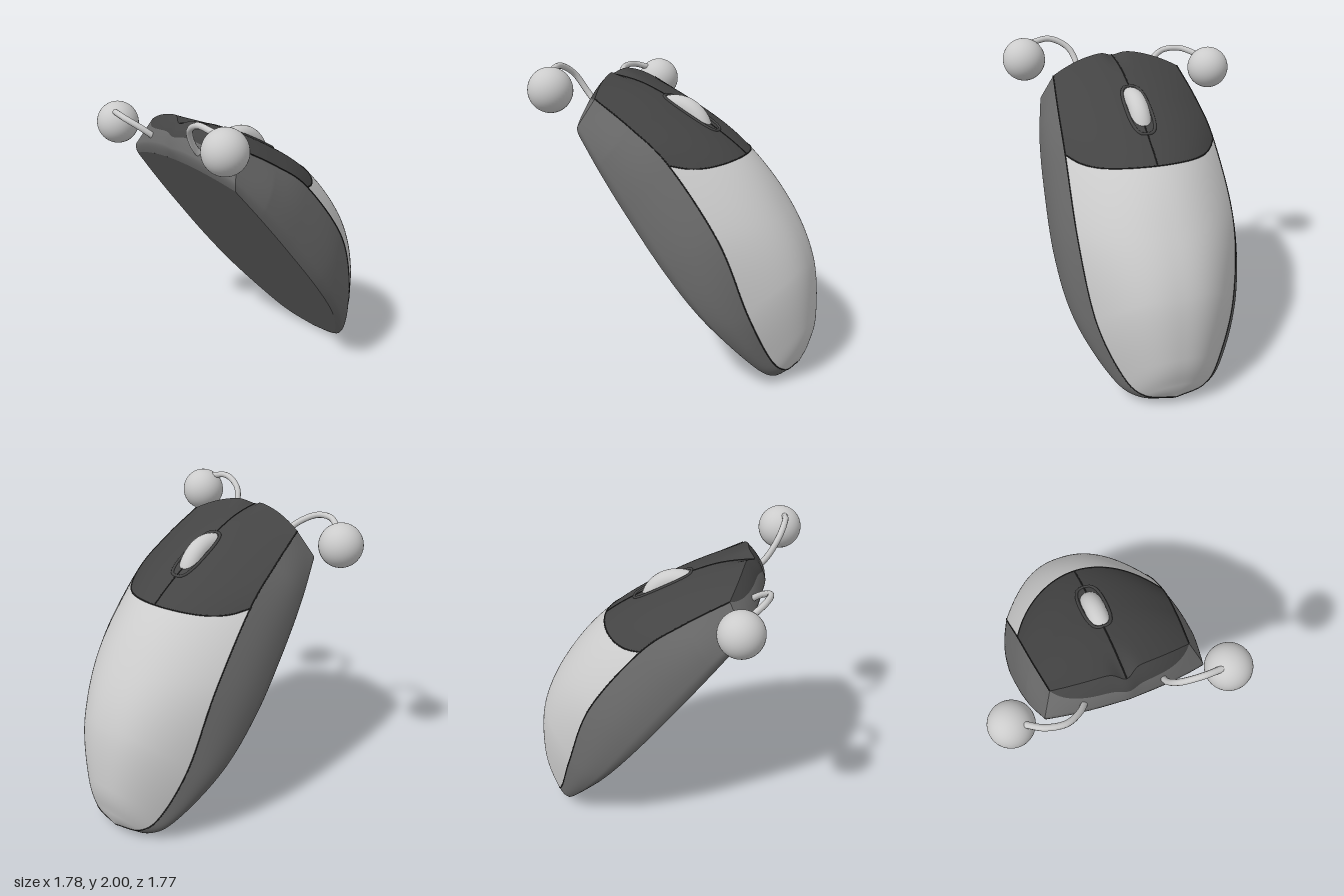
import * as THREE from 'three';
import { ParametricGeometry } from 'three/addons/geometries/ParametricGeometry.js';

// Guide curves in the mouse's own frame: x across, y height above the sole, z forward.
// Each row of points is [distance behind the nose, height, half width].
const guide = (rows) => {
  const c = new THREE.CatmullRomCurve3(rows.map(([t, h, s]) => new THREE.Vector3(s, h, -t)), false, 'catmullrom', 0.5);
  return (k) => c.getPoint(Math.min(Math.max(k / (rows.length - 1), 0), 1));
};
const LAST = 7;
const sole = guide([[0.085, 0, 0.515], [0.36, 0, 0.56], [0.686, 0, 0.59], [1.15, 0, 0.6],
  [1.55, 0, 0.54], [1.95, 0, 0.36], [2.1, 0, 0.21], [2.15, 0, 0.001]]);
const crease = guide([[-0.005, 0.208, 0.43], [0.28, 0.32, 0.465], [0.6, 0.404, 0.49], [1.15, 0.395, 0.505],
  [1.62, 0.245, 0.45], [1.958, 0.122, 0.32], [2.1, 0.095, 0.2], [2.145, 0.095, 0.001]]);
const ridge = guide([[-0.135, 0.23, 0], [0.32, 0.475, 0], [0.807, 0.647, 0], [1.25, 0.66, 0],
  [1.62, 0.575, 0], [1.94, 0.375, 0], [2.08, 0.22, 0], [2.145, 0.11, 0]]);

// Upper surface: a runs across (-1..1), k along the stations; a soft notch parts the buttons.
function topPoint(a, k) {
  const e = crease(k), r = ridge(k);
  const q = Math.abs(a) ** (2 + 0.25 * Math.min(Math.max(k - 2, 0), 2));
  const notch = 0.055 * Math.exp(-((a / 0.13) ** 2)) * Math.max(0, 1 - k / 0.5) ** 2;
  return new THREE.Vector3(e.x * a, r.y + (e.y - r.y) * q - notch, r.z + (e.z - r.z) * q);
}

// Station where the buttons meet the palm shell, bowed back between the corners.
const buttonEnd = (a) => 2 + 0.2 * a * a * (1 - a ** 4);

// Pull in towards the sole's middle, for the rounded lower edge.
function tuck(p, b) {
  const f = 1 - 0.04 * (1 - Math.min(b / 0.18, 1)) ** 2;
  p.x *= f;
  p.z = -1.05 + (p.z + 1.05) * f;
  return p;
}

function sidePoint(b, k, sign) {
  const p = sole(k).lerp(crease(k), b);
  p.x += 0.03 * Math.sin(Math.PI * b) * Math.min(p.x / 0.4, 1) * Math.min(k, 1);
  tuck(p, b);
  p.x *= sign;
  return p;
}

function solePoint(a, k) {
  const p = sole(k);
  p.z += 0.126 * (1 - a * a) * Math.max(0, 1 - k);
  p.x *= a;
  return tuck(p, 0);
}

// Nose wall between the sole's front edge and the front edge of the buttons.
function nosePoint(a, b) {
  const low = sole(0);
  low.z += 0.126 * (1 - a * a);
  low.x *= a;
  const p = low.lerp(topPoint(a, 0), b);
  p.z += 0.02 * Math.sin(Math.PI * b) * (1 - a * a);
  return tuck(p, b);
}
const lipStart = (a) => 1 - 0.5 * (1 - a ** 4);

export function createModel() {
  const model = new THREE.Group();
  const mouse = new THREE.Group();
  mouse.name = 'mouse';
  model.add(mouse);

  const mat = (color, side = THREE.FrontSide) => new THREE.MeshStandardMaterial({ color, side });
  const grey = mat(0xcccccc), shellMat = mat(0xcccccc, THREE.DoubleSide);
  const bodyMat = mat(0x6a6a6a, THREE.DoubleSide), buttonMat = mat(0x444444, THREE.DoubleSide);
  const seamMat = mat(0x2a2a2a);

  const add = (name, geometry, material, parent = mouse) => {
    const m = new THREE.Mesh(geometry, material);
    m.name = name;
    parent.add(m);
    return m;
  };
  const patch = (name, fn, nu, nv, material) =>
    add(name, new ParametricGeometry((u, v, out) => out.copy(fn(u, v)), nu, nv), material);
  const tube = (name, pts, radius, material, parent, closed = false) =>
    add(name, new THREE.TubeGeometry(new THREE.CatmullRomCurve3(pts, closed), 64, radius, 10, closed), material, parent);

  // Body
  patch('palmShell', (u, v) => {
    const a = 2 * u - 1, k = buttonEnd(a);
    return topPoint(a, k + (LAST - k) * v);
  }, 40, 60, shellMat);
  patch('buttons', (u, v) => topPoint(2 * u - 1, buttonEnd(2 * u - 1) * v), 80, 40, buttonMat);
  patch('leftSide', (u, v) => sidePoint(1 - u, LAST * v, 1), 24, 80, bodyMat);
  patch('rightSide', (u, v) => sidePoint(u, LAST * v, -1), 24, 80, bodyMat);
  patch('sole', (u, v) => solePoint(1 - 2 * u, LAST * v), 24, 80, bodyMat);
  patch('nose', (u, v) => nosePoint(2 * u - 1, v * lipStart(2 * u - 1)), 60, 20, bodyMat);
  patch('buttonLip', (u, v) => {
    const a = 2 * u - 1, b = lipStart(a);
    return nosePoint(a, b + (1 - b) * v);
  }, 60, 12, buttonMat);

  // Seams between the buttons and around the shell
  const row = (n, fn) => Array.from({ length: n + 1 }, (_, i) => fn(i / n));
  tube('buttonSeam', row(16, (f) => topPoint(0, 2 * f)), 0.004, seamMat, mouse);
  tube('shellFrontSeam', row(16, (f) => topPoint(2 * f - 1, buttonEnd(2 * f - 1))), 0.004, seamMat, mouse);
  for (const a of [-1, 1]) {
    tube(a < 0 ? 'rightShellSeam' : 'leftShellSeam', row(30, (f) => topPoint(a, LAST * f)), 0.004, seamMat, mouse);
  }

  // Scroll wheel: a disc with a rounded tread, in a raised rim
  const tread = row(12, (f) => {
    const w = Math.PI * (f - 0.5);
    return new THREE.Vector2(0.185 + 0.065 * Math.cos(w), 0.065 * Math.sin(w));
  });
  const wheel = add('scrollWheel', new THREE.LatheGeometry(tread, 64), grey);
  wheel.rotation.z = Math.PI / 2;
  wheel.position.set(0, 0.325, -0.435);
  const rim = row(24, (f) => {
    const w = 2 * Math.PI * f, c = Math.cos(w), s = Math.sin(w);
    const k = 1.13 + 0.4 * Math.sign(s) * Math.abs(s) ** 0.8;
    return topPoint(0.165 * Math.sign(c) * Math.abs(c) ** 0.6, k);
  }).slice(0, -1);
  tube('wheelRim', rim, 0.01, buttonMat, mouse, true);

  // Stand the mouse on its tail, nose up, turned a little under 45 degrees
  const yaw = 0.742, c = Math.cos(yaw), s = Math.sin(yaw);
  const across = new THREE.Vector3(s, 0, c);
  const up = new THREE.Vector3(0.78 * c, 0.625, -0.78 * s).normalize();
  const forward = new THREE.Vector3().crossVectors(across, up);
  mouse.applyMatrix4(new THREE.Matrix4().makeBasis(across, up, forward).setPosition(-0.332, 1.66, 0.29));

  // Antennae with ball tips
  const antennae = {
    right: {
      ball: [-0.755, 1.735, -0.268],
      stalk: [[-0.43, 1.70, 0.06], [-0.55, 1.79, 0.075], [-0.66, 1.845, 0.04], [-0.73, 1.855, -0.06], [-0.75, 1.82, -0.19]],
    },
    left: {
      ball: [0.005, 1.857, 0.76],
      stalk: [[-0.12, 1.68, 0.4], [-0.19, 1.79, 0.46], [-0.21, 1.91, 0.54], [-0.15, 1.975, 0.65], [-0.06, 1.96, 0.735]],
    },
  };
  for (const [side, { ball, stalk }] of Object.entries(antennae)) {
    tube(side + 'AntennaStalk', stalk.map((p) => new THREE.Vector3(...p)), 0.02, grey, model);
    add(side + 'AntennaBall', new THREE.SphereGeometry(0.14, 40, 28), grey, model).position.set(...ball);
  }
  return model;
}
